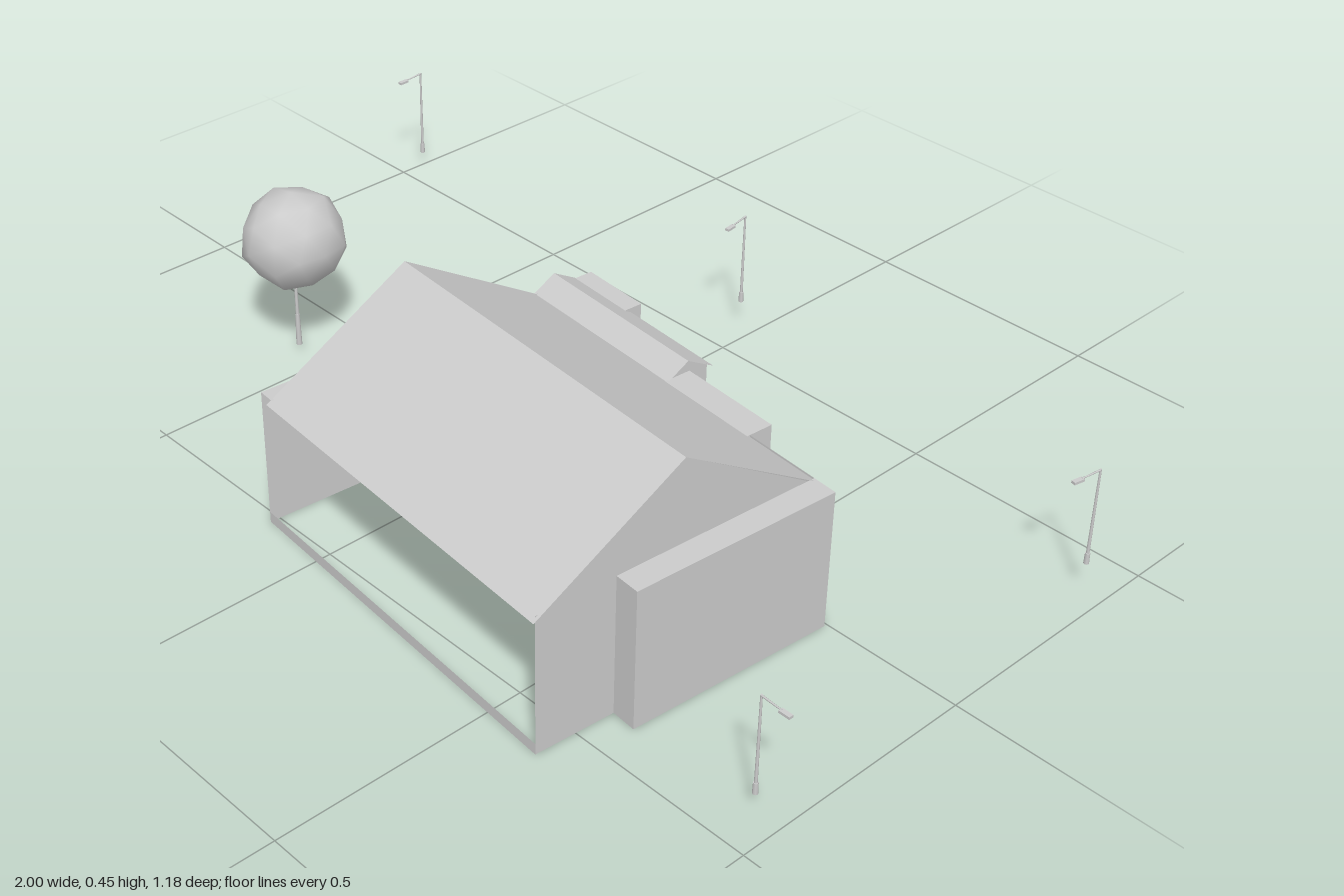
import * as THREE from 'three';
import { mergeVertices } from 'three/addons/utils/BufferGeometryUtils.js';

const sheetMat = new THREE.MeshStandardMaterial({ color: 0xcccccc, side: THREE.DoubleSide, flatShading: true });
const solidMat = new THREE.MeshStandardMaterial({ color: 0xcccccc });

// Flat sheets: each face is a list of [x, y, z] corners of a convex polygon.
function sheets(name, faces) {
  const pos = [];
  for (const f of faces) {
    for (let i = 1; i < f.length - 1; i++) pos.push(...f[0], ...f[i], ...f[i + 1]);
  }
  const geo = new THREE.BufferGeometry();
  geo.setAttribute('position', new THREE.Float32BufferAttribute(pos, 3));
  geo.computeVertexNormals();
  const mesh = new THREE.Mesh(geo, sheetMat);
  mesh.name = name;
  return mesh;
}

function solid(name, geo, x, y, z) {
  const mesh = new THREE.Mesh(geo, solidMat);
  mesh.name = name;
  mesh.position.set(x, y, z);
  return mesh;
}

function createHouse() {
  const house = new THREE.Group();
  house.name = 'house';
  const H = 0.28, sill = 0.022;

  // Stepped footprint, running from the front +x corner round the back; the front is open
  const plan = [
    [0.37, 0.29], [0.37, 0.13], [0.42, 0.13], [0.42, -0.291], [0.213, -0.291], [0.213, -0.341],
    [0, -0.341], [0, -0.382], [-0.224, -0.382], [-0.224, -0.418], [-0.37, -0.418], [-0.37, -0.152],
    [-0.456, -0.152], [-0.456, 0.077], [-0.405, 0.077], [-0.405, 0.29],
  ];
  const walls = [];
  for (let i = 0; i < plan.length - 1; i++) {
    const [a, b] = plan[i], [c, d] = plan[i + 1];
    // walls below the small roofs stop under the slope
    const top = i === 7 || i === 12 ? 0.277 : H;
    walls.push([[a, 0, b], [c, 0, d], [c, top, d], [a, top, b]]);
  }
  house.add(sheets('walls', walls));
  house.add(sheets('frontSill', [[[-0.405, 0, 0.29], [0.37, 0, 0.29], [0.37, sill, 0.29], [-0.405, sill, 0.29]]]));

  // Main pitched roof and its gable triangles
  const ridge = 0.452, eave = 0.272, L = 0.376, W = 0.298;
  house.add(sheets('mainRoof', [-1, 1].map((s) => [
    [-L, ridge, 0], [L, ridge, 0], [L, eave, s * W], [-L, eave, s * W],
  ])));
  house.add(sheets('gables', [-0.37, 0.37].map((x) => [
    [x, eave, -0.29], [x, eave, 0.29], [x, ridge - 0.002, 0],
  ])));

  // Flat tops over the wall projections
  const cap = (x0, x1, z0, z1) => [[x0, H, z0], [x0, H, z1], [x1, H, z1], [x1, H, z0]];
  house.add(sheets('flatTops', [
    cap(0.37, 0.42, -0.291, 0.13),
    cap(0, 0.213, -0.341, -0.285),
    cap(-0.37, -0.224, -0.418, -0.38),
    cap(-0.405, -0.37, 0.077, 0.29),
  ]));

  // Small pitched roof at the back
  const peak = 0.305;
  house.add(sheets('backRoof', [
    [[-L, peak, -0.334], [0.004, peak, -0.334], [0.004, 0.271, -0.394], [-L, 0.271, -0.394]],
    [[-L, peak, -0.334], [0.004, peak, -0.334], [0.004, 0.277, -0.286], [-L, 0.277, -0.286]],
    ...[-0.37, 0].map((x) => [[x, peak, -0.334], [x, 0.277, -0.382], [x, 0.277, -0.286]]),
  ]));

  // Small pitched roof on the side bay
  house.add(sheets('sideRoof', [
    [[-0.406, peak, -0.156], [-0.406, peak, 0.081], [-0.477, 0.271, 0.081], [-0.477, 0.271, -0.156]],
    [[-0.406, peak, -0.156], [-0.406, peak, 0.081], [-0.37, 0.285, 0.081], [-0.37, 0.285, -0.156]],
    ...[-0.152, 0.077].map((z) => [[-0.406, peak, z], [-0.456, 0.277, z], [-0.37, 0.277, z], [-0.37, 0.285, z]]),
  ]));

  house.position.set(0.28, 0, 0.2625);
  house.rotation.y = -0.08;
  return house;
}

// Street lamp with its arm reaching along local +z
function createLamp(x, y, z, turn) {
  const lamp = new THREE.Group();
  lamp.name = 'streetLamp';
  lamp.add(
    solid('lampBase', new THREE.CylinderGeometry(0.0045, 0.005, 0.022, 8), 0, 0.011, 0),
    solid('lampPole', new THREE.CylinderGeometry(0.002, 0.003, 0.176, 8), 0, 0.11, 0),
    solid('lampHead', new THREE.BoxGeometry(0.009, 0.005, 0.022), 0, 0.192, 0.049),
  );
  const arm = solid('lampArm', new THREE.CylinderGeometry(0.0015, 0.002, 0.042, 6), 0, 0.195, 0.02);
  arm.rotation.x = Math.PI / 2 + 0.06;
  lamp.add(arm);
  lamp.position.set(x, y, z);
  lamp.rotation.y = turn;
  return lamp;
}

function createTree() {
  const tree = new THREE.Group();
  tree.name = 'tree';
  // Faceted, slightly lumpy crown with smooth normals
  let geo = new THREE.IcosahedronGeometry(0.104, 1);
  geo.deleteAttribute('uv');
  geo.deleteAttribute('normal');
  geo = mergeVertices(geo, 1e-4);
  const p = geo.attributes.position, v = new THREE.Vector3();
  for (let i = 0; i < p.count; i++) {
    v.fromBufferAttribute(p, i);
    v.multiplyScalar(1 + 0.035 * Math.sin(v.x * 50 + v.y * 35 + v.z * 70));
    p.setXYZ(i, v.x, v.y * 0.97, v.z);
  }
  geo.computeVertexNormals();
  tree.add(
    solid('crown', geo, -0.557, 0.266, 0.135),
    solid('trunk', new THREE.CylinderGeometry(0.003, 0.004, 0.16, 8), -0.56, 0.1, 0.135),
    solid('trunkFoot', new THREE.CylinderGeometry(0.0045, 0.006, 0.07, 8), -0.56, 0.055, 0.135),
  );
  return tree;
}

export function createModel() {
  const model = new THREE.Group();
  model.name = 'houseWithStreetLamps';
  model.add(createHouse(), createTree());
  model.add(
    createLamp(-0.993, 0.036, -0.552, 0),
    createLamp(-0.038, 0.055, -0.589, 0.12),
    createLamp(0.957, 0.058, -0.396, -0.2),
    createLamp(0.938, 0.026, 0.41, Math.PI / 2),
  );
  return model;
}
